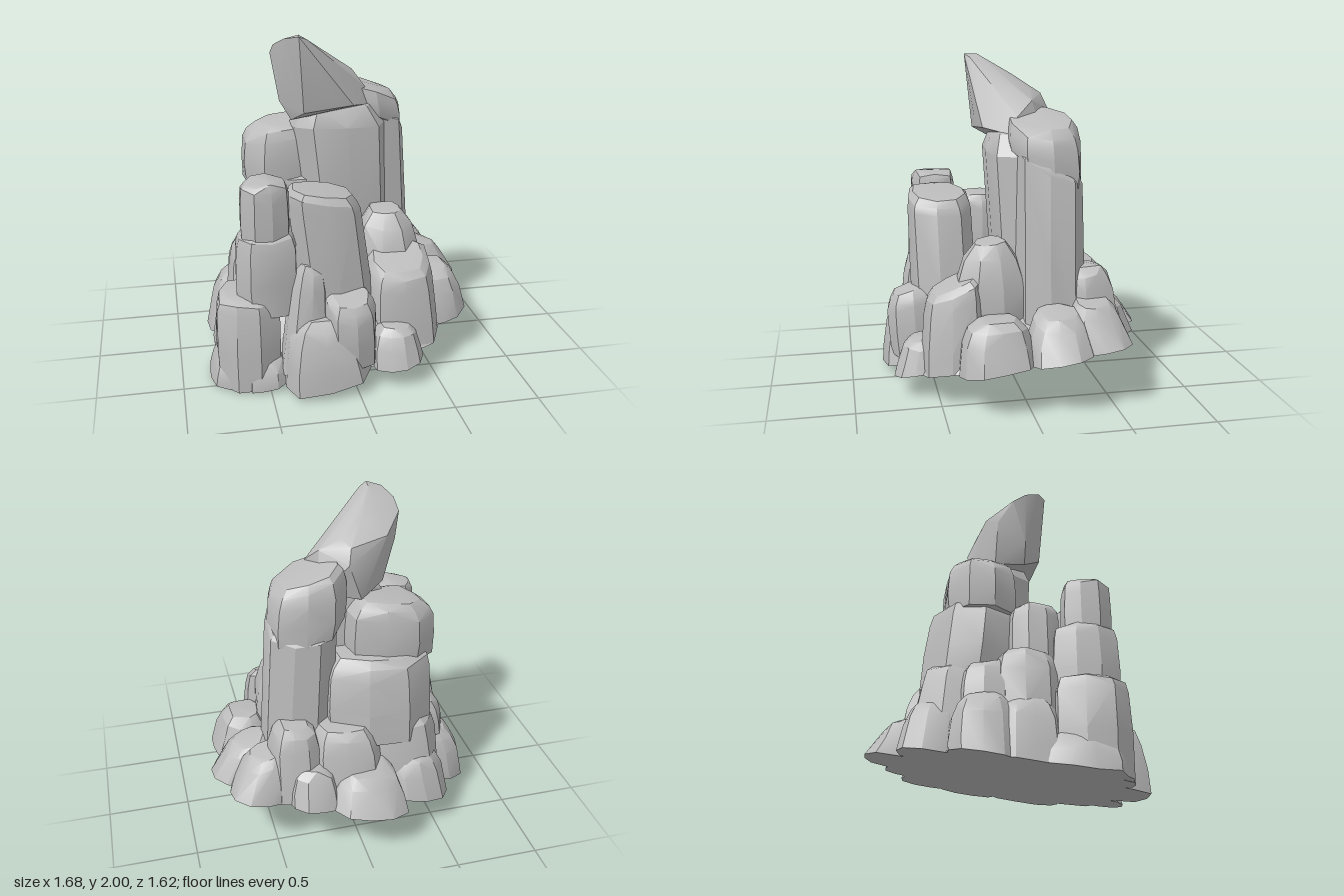
import * as THREE from 'three';
import { ConvexGeometry } from 'three/addons/geometries/ConvexGeometry.js';
import { toCreasedNormals } from 'three/addons/utils/BufferGeometryUtils.js';

export function createModel() {
  const model = new THREE.Group();
  model.name = 'rockFormation';
  const stone = new THREE.MeshStandardMaterial({ color: 0xbcbcbc });
  stone.name = 'grey stone';

  let seed = 11;
  const jitter = (a) => {
    seed = (seed * 16807) % 2147483647;
    return (seed / 2147483647 - 0.5) * 2 * a;
  };

  // The whole formation is cut off underneath by one tilted plane
  const ground = (x, z) => Math.max(0, 0.185 + 0.155 * x - 0.135 * z);

  function hull(name, points) {
    for (const p of points) p.y = Math.max(p.y, ground(p.x, p.z));
    const mesh = new THREE.Mesh(toCreasedNormals(new ConvexGeometry(points), 0.4), stone);
    mesh.name = name;
    model.add(mesh);
  }

  // Chiselled block: x, z and y ranges, then lean, slopes of top and base, taper, top inset and bevel height
  function rock(name, [x0, x1], [z0, z1], [y0, y1],
    { lean = [0, 0], slope = [0, 0], base = [0, 0], taper = 0.94, inset = 0.74, bevel = 0.09, sides = 9 } = {}) {
    const cx = (x0 + x1) / 2, cz = (z0 + z1) / 2, rx = (x1 - x0) / 2, rz = (z1 - z0) / 2;
    const h = y1 - y0, b = Math.min(bevel / h, 0.5), turn = jitter(0.3);
    const bumps = Array.from({ length: sides }, () => 1 + jitter(0.04));
    const levels = [[0, 0.97], [(1 - b) / 2, 1.02], [1 - b, 1], [1 - b * 0.35, (1 + inset) / 2 + 0.05], [1, inset]];
    const points = [];
    for (const [t, s] of levels) {
      const k = s * (1 + (taper - 1) * t);
      for (let i = 0; i < sides; i++) {
        const a = turn + (i / sides) * Math.PI * 2, c = Math.cos(a), d = Math.sin(a);
        const r = k * (bumps[i] + jitter(0.025)) / Math.pow(Math.abs(c) ** 3 + Math.abs(d) ** 3, 1 / 3);
        const u = c * r * rx, v = d * r * rz;
        const tilt = (slope[0] * u + slope[1] * v) * t + (base[0] * u + base[1] * v) * (1 - t);
        points.push(new THREE.Vector3(cx + u + lean[0] * t, y0 + h * t + tilt + jitter(0.012), cz + v + lean[1] * t));
      }
    }
    hull(name, points);
  }

  // Hidden core that closes the gaps between the stones
  rock('core', [-0.72, 0.69], [-0.63, 0.68], [0, 0.56], { taper: 0.6, sides: 16 });

  // Pointed overhanging summit
  hull('summit', [
    [-0.38, 1.94, 0.1], [-0.33, 1.985, 0.19], [-0.25, 2.0, 0.24], [-0.2, 1.98, 0.21], [-0.24, 2.0, 0.16],
    [-0.39, 1.88, 0.02], [-0.35, 1.61, 0.1], [-0.28, 1.49, 0.1], [-0.27, 1.49, -0.08],
    [-0.34, 1.75, -0.07], [-0.27, 1.8, -0.14], [-0.04, 1.77, -0.2], [-0.02, 1.68, -0.24],
    [-0.25, 1.93, 0.04], [-0.14, 1.88, -0.04], [0.0, 1.8, -0.13], [0.13, 1.74, -0.11], [0.19, 1.65, -0.01],
    [0.2, 1.55, 0.04], [0.08, 1.58, 0.18], [-0.06, 1.64, 0.21], [-0.22, 1.55, 0.2],
    [0.15, 1.5, -0.18], [-0.1, 1.45, -0.22],
  ].map((p) => new THREE.Vector3(...p)));
  rock('summitShoulder', [0.0, 0.46], [-0.39, 0.04], [1.36, 1.64],
    { slope: [-0.3, 0], base: [-0.15, 0.5], taper: 0.96, lean: [-0.02, 0.01], inset: 0.78 });

  // Tall columns
  rock('mainColumn', [-0.1, 0.35], [-0.17, 0.1], [0.3, 1.6],
    { lean: [-0.12, 0.03], taper: 1.32, inset: 0.42, bevel: 0.17 });
  rock('rightColumn', [0.1, 0.54], [-0.4, 0.03], [0.3, 1.38],
    { lean: [-0.06, 0.0], slope: [-0.1, 0.5], taper: 0.93, inset: 0.92, bevel: 0.05 });

  // Stack behind, each lower layer stepping out and across
  rock('backStackTop', [-0.55, 0.0], [-0.38, 0.04], [1.06, 1.43], { slope: [0.12, 0], inset: 0.7 });
  rock('backStackMiddle', [-0.54, 0.15], [-0.52, 0.02], [0.6, 1.13], { lean: [0, 0.05], taper: 0.95, inset: 0.8, bevel: 0.12 });
  rock('backStackLower', [-0.2, 0.27], [-0.65, -0.2], [0.25, 0.74], { lean: [0.02, 0.05], taper: 0.88, bevel: 0.15 });
  rock('backStackFoot', [-0.58, -0.12], [-0.57, -0.1], [0.2, 0.72], { lean: [0.03, 0.04], taper: 0.9, bevel: 0.13 });

  // Stepped blocks on the right-hand flank
  rock('flankColumn', [-0.58, -0.28], [-0.02, 0.28], [0.4, 1.09]);
  rock('flankBlock', [-0.68, -0.36], [-0.3, 0.02], [0.3, 0.68], { lean: [0.03, 0], bevel: 0.13 });
  rock('flankStep', [-0.7, -0.38], [-0.12, 0.27], [0.2, 0.75], { lean: [0.03, 0], bevel: 0.13 });

  // Front columns
  rock('cornerColumnTop', [-0.63, -0.35], [0.28, 0.57], [0.85, 1.23], { taper: 0.98, inset: 0.82 });
  rock('cornerColumnMiddle', [-0.67, -0.3], [0.22, 0.6], [0.45, 0.94], { taper: 0.97, slope: [0.08, 0] });
  rock('cornerColumnFoot', [-0.79, -0.41], [0.2, 0.63], [0, 0.57], { taper: 0.97 });
  rock('frontColumn', [-0.24, 0.18], [0.2, 0.61], [0.2, 1.15],
    { lean: [-0.13, 0.02], taper: 0.98, slope: [-0.15, 0], inset: 0.82, bevel: 0.09 });

  // Boulders leaning on the front left
  rock('upperBoulder', [0.07, 0.49], [-0.04, 0.39], [0.4, 0.93], { inset: 0.46, bevel: 0.25 });
  rock('largeBoulder', [0.11, 0.57], [0.2, 0.61], [0.1, 0.7],
    { lean: [-0.03, -0.01], slope: [0.05, -0.45], taper: 0.88, bevel: 0.12 });

  // Wedges in front
  rock('frontWedge', [-0.44, -0.16], [0.42, 0.7], [0.1, 0.75], { lean: [0.05, -0.02], taper: 0.65, inset: 0.6, bevel: 0.14 });
  rock('frontChip', [-0.17, 0.13], [0.43, 0.75], [0.15, 0.58], { lean: [-0.02, 0.02], taper: 0.98, slope: [0, -0.35] });
  rock('frontBoulder', [-0.43, 0.1], [0.44, 0.81], [0, 0.45],
    { lean: [-0.03, 0], taper: 0.7, inset: 0.55, bevel: 0.13 });

  // Low stones around the rim
  const low = { taper: 0.87, inset: 0.6, bevel: 0.13, sides: 11 };
  rock('rimStone', [0.1, 0.42], [0.46, 0.76], [0, 0.35], { ...low, lean: [-0.01, -0.03] });
  rock('rimStone', [0.44, 0.79], [-0.04, 0.41], [0.1, 0.54], { ...low, lean: [-0.04, 0] });
  rock('rimStone', [0.48, 0.84], [-0.37, 0.02], [0.1, 0.57], { ...low, lean: [-0.06, 0], slope: [-0.3, 0] });
  rock('rimStone', [0.38, 0.77], [-0.61, -0.25], [0.1, 0.6], { ...low, lean: [-0.05, 0.04], slope: [-0.2, 0] });
  rock('rimStone', [0.2, 0.53], [-0.62, -0.28], [0.1, 0.78], { ...low, lean: [0, 0.06] });
  rock('rimStone', [0.12, 0.44], [-0.71, -0.4], [0.1, 0.54], { ...low, lean: [0, 0.04] });
  rock('rimStone', [-0.28, 0.18], [-0.82, -0.42], [0.05, 0.5], { ...low, lean: [0, 0.06], slope: [0, 0.25] });
  rock('rimStone', [-0.61, -0.2], [-0.63, -0.22], [0, 0.5], { ...low, lean: [0.04, 0.03] });
  rock('rimStone', [-0.82, -0.43], [-0.36, 0.03], [0, 0.46], { ...low, lean: [0.05, 0] });
  rock('rimStone', [-0.8, -0.46], [-0.13, 0.25], [0, 0.44], { ...low, lean: [0.04, 0] });
  rock('rimStone', [-0.84, -0.54], [0.13, 0.58], [0, 0.26], { ...low, lean: [0.03, 0], slope: [0.2, 0] });
  rock('rimStone', [-0.64, -0.38], [0.38, 0.66], [0, 0.21], { ...low, lean: [0, -0.03] });

  return model;
}
